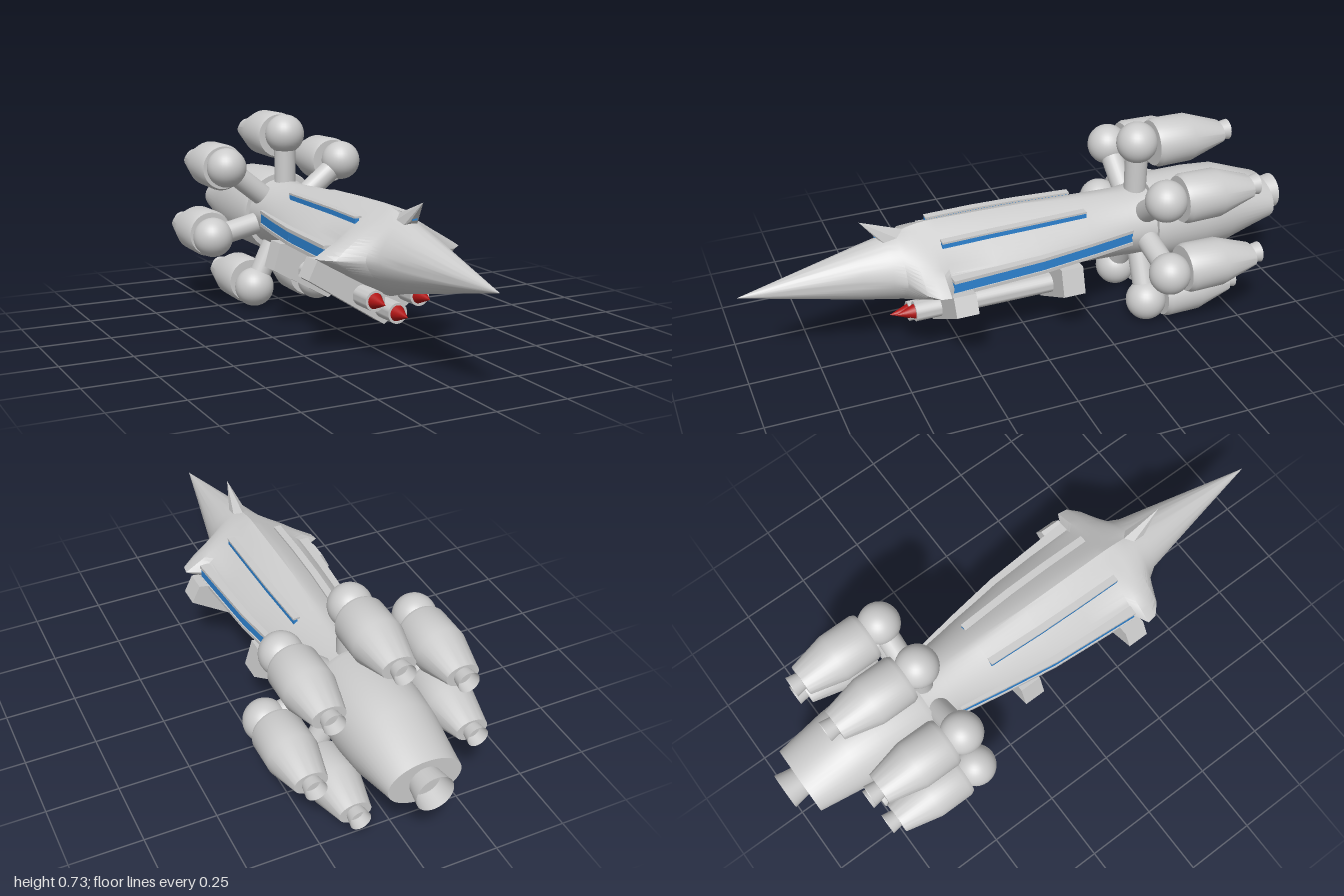
import * as THREE from 'three';
import { toCreasedNormals } from 'three/addons/utils/BufferGeometryUtils.js';
import { ConvexGeometry } from 'three/addons/geometries/ConvexGeometry.js';

const CY = 0.352; // height of the ship's axis
const grey = new THREE.MeshStandardMaterial({ color: 0xcccccc });
const open = new THREE.MeshStandardMaterial({ color: 0xcccccc, side: THREE.DoubleSide });
const blue = new THREE.MeshStandardMaterial({ color: 0x2f86d6 });
const red = new THREE.MeshStandardMaterial({ color: 0xb01515 });

// Hull stations, nose to tail: z, half width, height above axis, depth below axis, roundness (1 diamond, 2 ellipse)
const HULL = [
  [1, 0.0005, 0.0005, 0.0005, 2], [0.8, 0.042, 0.047, 0.045, 2], [0.6, 0.085, 0.095, 0.09, 1.9],
  [0.5, 0.108, 0.12, 0.112, 1.75], [0.46, 0.135, 0.13, 0.122, 1.5], [0.42, 0.22, 0.143, 0.134, 1.15],
  [0.385, 0.257, 0.15, 0.145, 1.03], [0.35, 0.262, 0.153, 0.148, 1.02], [0.325, 0.212, 0.153, 0.135, 1.15],
  [0.16, 0.2, 0.151, 0.12, 1.25], [0, 0.188, 0.147, 0.112, 1.3], [-0.2, 0.158, 0.135, 0.122, 1.45],
  [-0.36, 0.13, 0.124, 0.127, 1.8], [-0.46, 0.135, 0.13, 0.13, 2],
];
const CORE = [
  [-0.46, 0.001, 0.001, 0.001, 2], [-0.46, 0.15, 0.15, 0.15, 2], [-0.48, 0.156, 0.156, 0.156, 2],
  [-0.65, 0.157, 0.156, 0.156, 2], [-0.76, 0.148, 0.148, 0.148, 2], [-0.94, 0.125, 0.078, 0.078, 2],
  [-0.94, 0.001, 0.001, 0.001, 2],
];
const POD = [
  [-0.485, 0.001, 0.001, 0.001, 2], [-0.485, 0.08, 0.08, 0.08, 2], [-0.5, 0.087, 0.087, 0.087, 2],
  [-0.62, 0.087, 0.085, 0.085, 2], [-0.75, 0.057, 0.038, 0.038, 2], [-0.75, 0.001, 0.001, 0.001, 2],
];

// Point on a superellipse station
function ringPoint([z, w, up, down, n], t) {
  const c = Math.cos(t), s = Math.sin(t);
  const r = Math.pow(Math.pow(Math.abs(c), n) + Math.pow(Math.abs(s), n), -1 / n);
  return [w * r * c, (s > 0 ? up : down) * r * s, z];
}

function loft(stations, sides = 48, crease = 0.5) {
  const pos = [], index = [];
  stations.forEach((st, i) => {
    for (let j = 0; j < sides; j++) {
      pos.push(...ringPoint(st, (j / sides) * Math.PI * 2));
      if (i === stations.length - 1) continue;
      const a = i * sides + j, b = i * sides + ((j + 1) % sides);
      index.push(a, a + sides, b, b, a + sides, b + sides);
    }
  });
  const g = new THREE.BufferGeometry();
  g.setAttribute('position', new THREE.Float32BufferAttribute(pos, 3));
  g.setIndex(index);
  return toCreasedNormals(g, crease);
}

function add(parent, name, geo, mat, x = 0, y = 0, z = 0) {
  const m = new THREE.Mesh(geo, mat);
  m.name = name;
  m.position.set(x, y, z);
  parent.add(m);
  return m;
}

// Box running from point a to point b
function bar(parent, name, a, b, w, h, mat) {
  const m = add(parent, name, new THREE.BoxGeometry(w, h, a.distanceTo(b) + 0.004), mat);
  m.position.copy(a).add(b).multiplyScalar(0.5);
  m.lookAt(b);
}

// Open rear nozzle, slightly flared
function nozzle(r0, r1, z0, z1) {
  return new THREE.CylinderGeometry(r0, r1, z0 - z1, 32, 1, true)
    .rotateX(Math.PI / 2).translate(0, 0, (z0 + z1) / 2);
}

// V-shaped bracket under the hull
function bracket(parent, name, outer, z, depth) {
  const pts = [[0, 0.3], ...outer, [0, 0.103], ...outer.map(([x, y]) => [-x, y]).reverse()];
  const shape = new THREE.Shape(pts.map(([x, y]) => new THREE.Vector2(x, y)));
  add(parent, name, new THREE.ExtrudeGeometry(shape, { depth, bevelEnabled: false }), grey, 0, 0, z);
}

export function createModel() {
  const ship = new THREE.Group();
  ship.name = 'spaceship';

  add(ship, 'hull', loft(HULL, 64), grey, 0, CY);
  add(ship, 'mainEngine', loft(CORE), grey, 0, CY);
  add(ship, 'mainNozzle', nozzle(0.052, 0.064, -0.93, -1), open, 0, CY);

  // Ring of seven engines on spokes
  const podGeo = loft(POD), podNozzle = nozzle(0.03, 0.037, -0.745, -0.787);
  const ball = new THREE.SphereGeometry(0.073, 32, 20);
  const spoke = new THREE.CylinderGeometry(0.04, 0.04, 0.22, 24);
  for (let i = 0; i < 7; i++) {
    const t = (i / 7) * Math.PI * 2, s = Math.sin(t), c = Math.cos(t);
    const engine = new THREE.Group();
    engine.name = 'ringEngine' + (i + 1);
    add(engine, 'spoke', spoke, grey, s * 0.18, CY + c * 0.18, -0.43).rotation.z = -t;
    add(engine, 'joint', ball, grey, s * 0.302, CY + c * 0.302, -0.43);
    add(engine, 'pod', podGeo, grey, s * 0.29, CY + c * 0.29);
    add(engine, 'podNozzle', podNozzle, open, s * 0.29, CY + c * 0.29);
    ship.add(engine);
  }

  // Light strips under ledges, following the hull stations
  const along = HULL.filter(([z]) => z < 0.34 && z > -0.4);
  for (const side of [1, -1]) {
    for (let i = 0; i < along.length - 1; i++) {
      const at = (st, x, y) => new THREE.Vector3(side * x, CY + y, st[0]);
      const [p, q] = [along[i], along[i + 1]];
      bar(ship, 'sideLight', at(p, p[1] - 0.014, 0.002), at(q, q[1] - 0.014, 0.002), 0.028, 0.036, blue);
      bar(ship, 'sideLedge', at(p, p[1] - 0.016, 0.026), at(q, q[1] - 0.016, 0.026), 0.04, 0.012, grey);
      bar(ship, 'sideSill', at(p, p[1] - 0.016, -0.022), at(q, q[1] - 0.016, -0.022), 0.04, 0.012, grey);
      if (q[0] < -0.25) continue;
      const [a, b] = [p, q].map((st) => ringPoint(st, 0.96));
      bar(ship, 'upperLight', at(p, a[0], a[1] + 0.004), at(q, b[0], b[1] + 0.004), 0.014, 0.018, blue);
      bar(ship, 'upperLedge', at(p, a[0] - 0.004, a[1] + 0.016), at(q, b[0] - 0.004, b[1] + 0.016), 0.026, 0.007, grey);
    }
  }

  // Brackets and missile tubes
  bracket(ship, 'frontBracket', [[0.245, 0.34], [0.275, 0.278]], 0.262, 0.078);
  bracket(ship, 'rearBracket', [[0.185, 0.315], [0.212, 0.222]], -0.15, 0.08);
  const tube = new THREE.LatheGeometry([
    [0.027, 0.2], [0.027, 0], [0.035, 0], [0.035, 0.61], [0.027, 0.61], [0.027, 0.4],
  ].map(([r, y]) => new THREE.Vector2(r, y)), 28);
  const tubeGeo = toCreasedNormals(tube.rotateX(Math.PI / 2), 0.5);
  const plug = new THREE.CylinderGeometry(0.027, 0.027, 0.5, 24).rotateX(Math.PI / 2);
  const tip = new THREE.ConeGeometry(0.027, 0.07, 24).rotateX(Math.PI / 2);
  for (const [x, y] of [[-0.082, 0.21], [0.082, 0.21], [0, 0.16]]) {
    add(ship, 'missileTube', tubeGeo, open, x, y, -0.18);
    add(ship, 'missileBody', plug, grey, x, y, 0.14);
    add(ship, 'missileTip', tip, red, x, y, 0.46);
  }

  // Pointed canopy with a small window
  const canopy = [[0, 0.546, 0.58], [0, 0.485, 0.42]];
  for (const s of [1, -1]) canopy.push([s * 0.013, 0.478, 0.525], [s * 0.03, 0.462, 0.44], [s * 0.026, 0.46, 0.5]);
  add(ship, 'canopy', new ConvexGeometry(canopy.map((p) => new THREE.Vector3(...p))), grey);
  add(ship, 'canopyWindow', new THREE.BoxGeometry(0.018, 0.018, 0.012), blue, 0, 0.491, 0.527);

  return ship;
}
